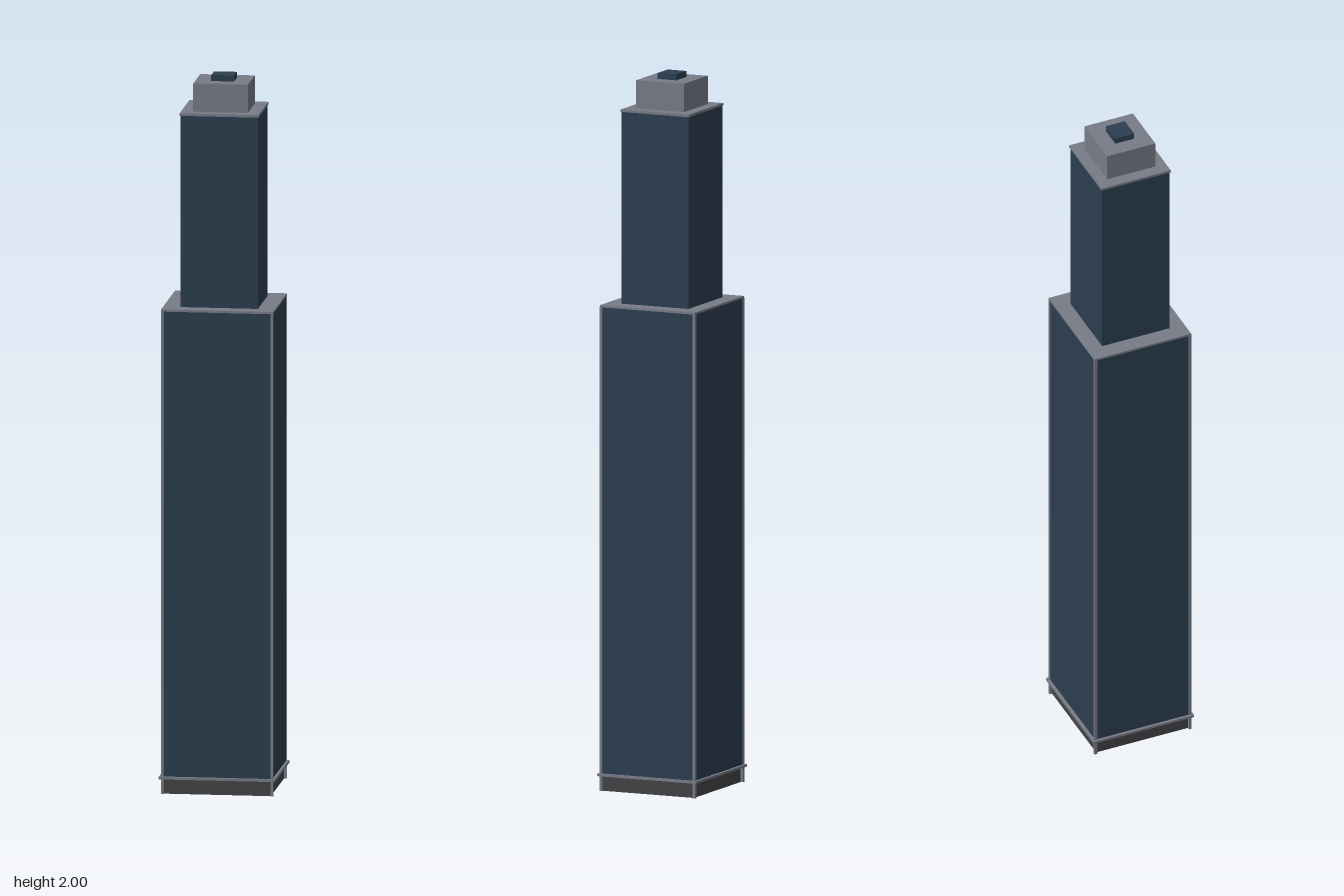
import * as THREE from 'three';

export function createModel() {
  const model = new THREE.Group();
  model.name = 'tower';

  const material = (name, color) => {
    const m = new THREE.MeshStandardMaterial({ color });
    m.name = name;
    return m;
  };
  const glass = material('blue glass', 0x2c3e50);
  const stone = material('grey stone', 0x777c87);
  const dark = material('dark plinth', 0x444446);

  // Box given by its half width, half depth, bottom and top heights
  const block = (name, mat, hx, hz, y0, y1, x = 0, z = 0) => {
    const mesh = new THREE.Mesh(new THREE.BoxGeometry(hx * 2, y1 - y0, hz * 2), mat);
    mesh.position.set(x, (y0 + y1) / 2, z);
    mesh.name = name;
    model.add(mesh);
  };

  // Base
  block('plinth', dark, 0.149, 0.139, 0, 0.042);
  block('baseLedge', stone, 0.162, 0.152, 0.042, 0.049);

  // Main shaft with its roof
  block('lowerShaft', glass, 0.154, 0.144, 0.049, 1.354);
  block('lowerRoof', stone, 0.156, 0.146, 1.354, 1.36);

  // Slim corner posts running down to the ground
  for (const sx of [-1, 1]) {
    for (const sz of [-1, 1]) {
      block('cornerPost', stone, 0.004, 0.004, 0, 1.356, sx * 0.1525, sz * 0.1425);
    }
  }

  // Set-back shaft and its cap
  block('upperShaft', glass, 0.108, 0.102, 1.36, 1.897);
  block('upperCap', stone, 0.11, 0.1045, 1.897, 1.904);

  // Rooftop plant room and hatch
  block('plantRoom', stone, 0.076, 0.073, 1.904, 1.983);
  block('roofHatch', glass, 0.0317, 0.0286, 1.983, 2);

  return model;
}
